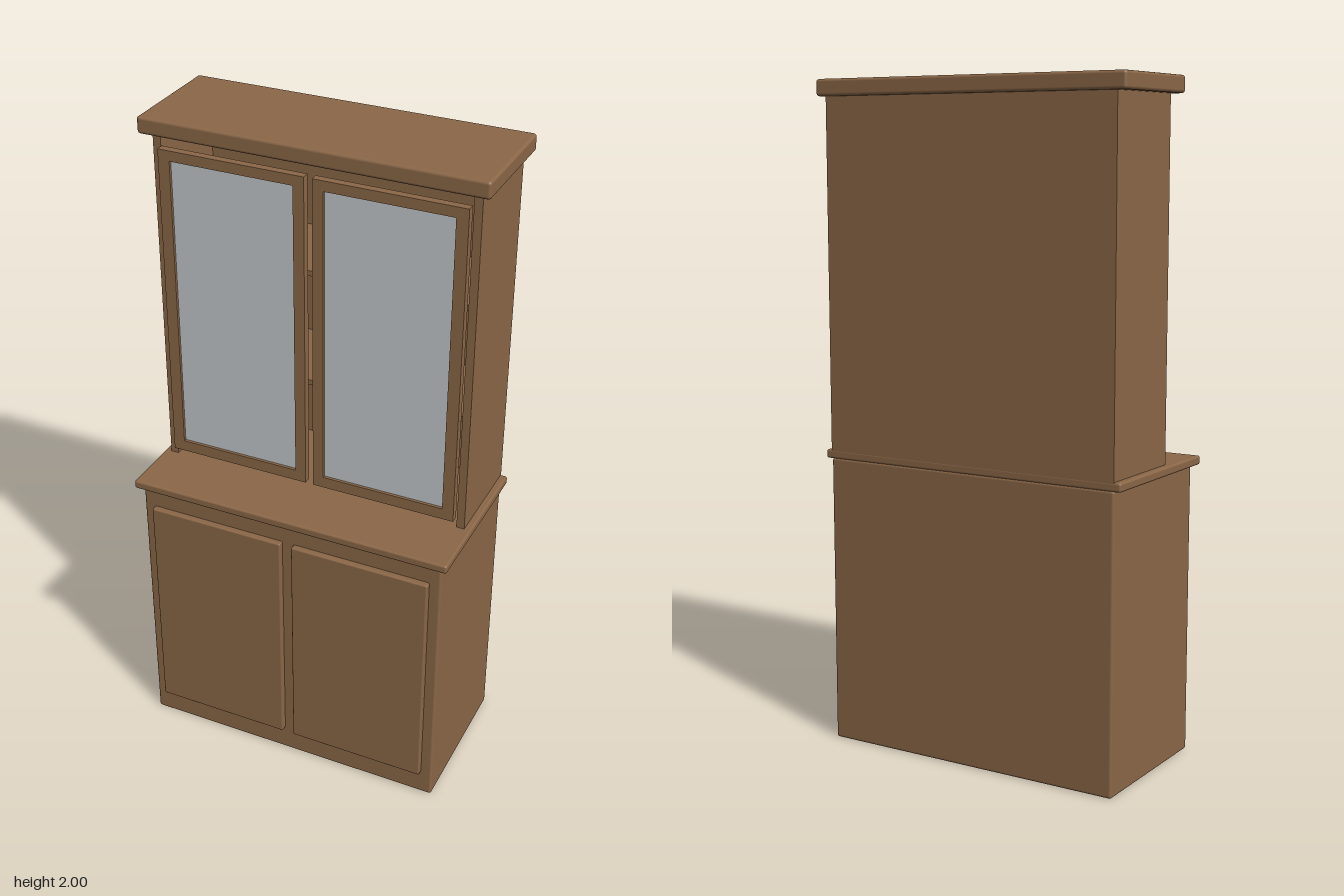
import * as THREE from 'three';
import { RoundedBoxGeometry } from 'three/addons/geometries/RoundedBoxGeometry.js';

const wood = new THREE.MeshStandardMaterial({ color: 0x8b6747 });
wood.name = 'brown wood';
const glass = new THREE.MeshStandardMaterial({ color: 0xc3c9cc });
glass.name = 'pale glass';

// Box given by its limits on each axis; bevel > 0 softens the edges
function slab(parent, name, [x0, x1], [y0, y1], [z0, z1], bevel = 0, material = wood) {
  const size = [x1 - x0, y1 - y0, z1 - z0];
  const geometry = bevel > 0
    ? new RoundedBoxGeometry(...size, 2, bevel)
    : new THREE.BoxGeometry(...size);
  const mesh = new THREE.Mesh(geometry, material);
  mesh.name = name;
  mesh.position.set((x0 + x1) / 2, (y0 + y1) / 2, (z0 + z1) / 2);
  parent.add(mesh);
  return mesh;
}

// Span mirrored to the given side of the cabinet
const span = (side, a, b) => (side > 0 ? [a, b] : [-b, -a]);

// Framed door with a recessed pane
function glassDoor(side) {
  const door = new THREE.Group();
  door.name = side > 0 ? 'leftGlassDoor' : 'rightGlassDoor';
  const z = [0.065, 0.089];
  const frame = new THREE.Shape();
  const [a, b] = span(side, 0.012, 0.455);
  frame.moveTo(a, 0.937).lineTo(b, 0.937).lineTo(b, 1.913).lineTo(a, 1.913).closePath();
  const hole = new THREE.Path();
  const [c, d] = span(side, 0.045, 0.42);
  hole.moveTo(c, 0.972).lineTo(c, 1.882).lineTo(d, 1.882).lineTo(d, 0.972).closePath();
  frame.holes.push(hole);
  const mesh = new THREE.Mesh(
    new THREE.ExtrudeGeometry(frame, { depth: z[1] - z[0], bevelEnabled: false }), wood);
  mesh.name = 'doorFrame';
  mesh.position.z = z[0];
  door.add(mesh);
  slab(door, 'glassPane', [c, d], [0.972, 1.882], [0.072, 0.08], 0, glass);
  return door;
}

export function createModel() {
  const cabinet = new THREE.Group();
  cabinet.name = 'displayCabinet';

  // Lower cupboard and worktop
  slab(cabinet, 'baseCupboard', [-0.482, 0.482], [0, 0.88], [-0.245, 0.236], 0.008);
  slab(cabinet, 'worktop', [-0.503, 0.503], [0.877, 0.904], [-0.245, 0.255], 0.007);

  // Hollow upper case with shelves
  slab(cabinet, 'upperBack', [-0.458, 0.458], [0.9, 1.955], [-0.245, -0.225]);
  for (const y of [1.25, 1.6]) {
    slab(cabinet, 'shelf', [-0.458, 0.458], [y, y + 0.016], [-0.225, 0.045]);
  }

  for (const side of [1, -1]) {
    const label = side > 0 ? 'left' : 'right';
    slab(cabinet, label + 'UpperSide', span(side, 0.458, 0.482), [0.9, 1.955], [-0.245, 0.065]);
    slab(cabinet, label + 'LowerDoor', span(side, 0.018, 0.447), [0.083, 0.817], [0.23, 0.255], 0.005);
    cabinet.add(glassDoor(side));
  }

  // Overhanging top
  slab(cabinet, 'cornice', [-0.512, 0.512], [1.95, 2], [-0.255, 0.098], 0.009);
  return cabinet;
}
